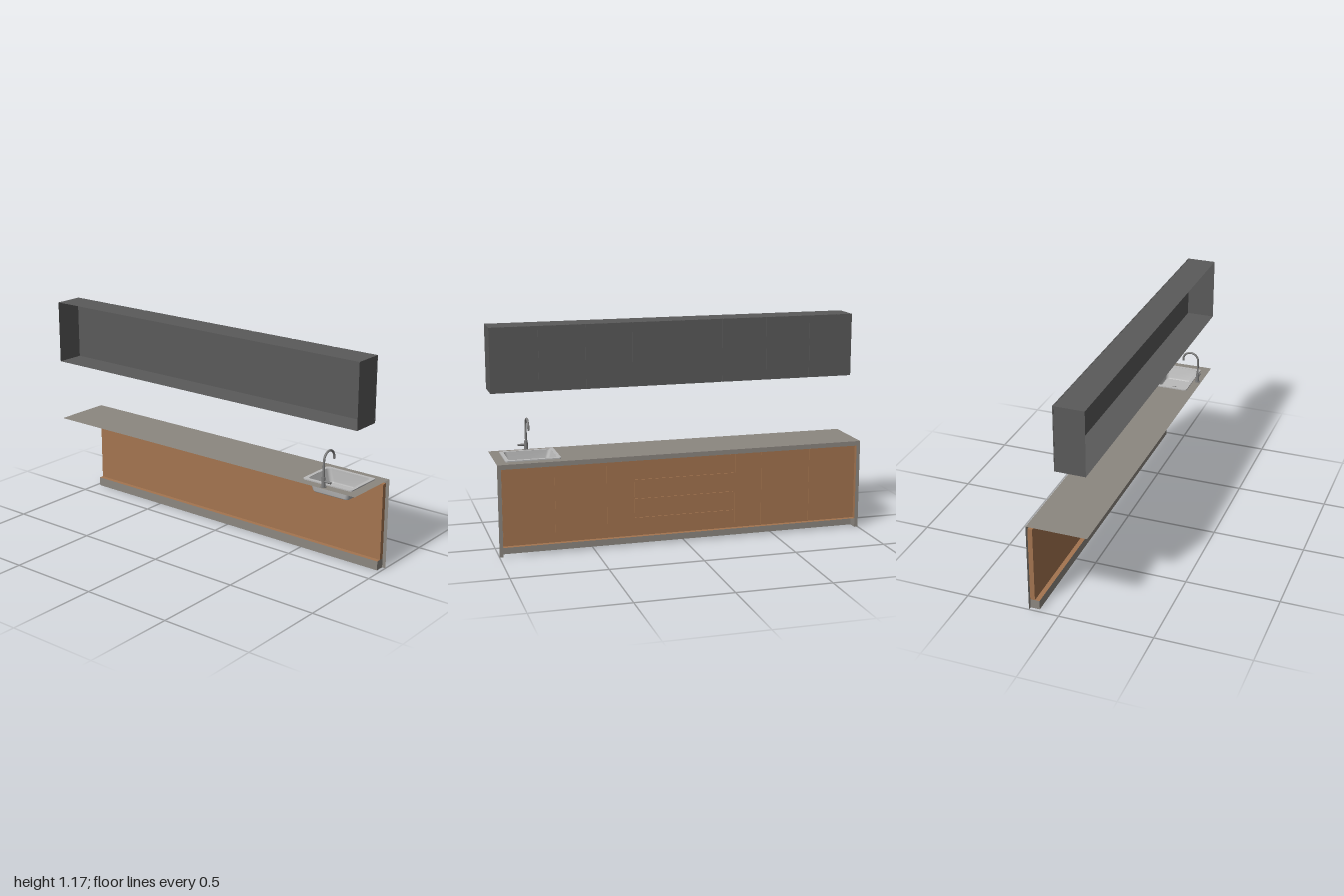
import * as THREE from 'three';

const material = (name, color) => {
  const m = new THREE.MeshStandardMaterial({ color, side: THREE.DoubleSide });
  m.name = name;
  return m;
};

export function createModel() {
  const charcoal = material('charcoal', 0x5a5a5a);
  const wood = material('wood', 0xa3744f);
  const stone = material('stone', 0x8c8780);
  const steel = material('steel', 0xbababa);
  const tap = material('tapMetal', 0x7c7c7c);

  const model = new THREE.Group();
  model.name = 'kitchenUnit';

  const add = (parent, name, geometry, mat, x = 0, y = 0, z = 0) => {
    const mesh = new THREE.Mesh(geometry, mat);
    mesh.name = name;
    mesh.position.set(x, y, z);
    parent.add(mesh);
    return mesh;
  };
  const group = (name) => {
    const g = new THREE.Group();
    g.name = name;
    model.add(g);
    return g;
  };
  // Thin sheets facing along z, y and x, given by their ranges
  const sheetZ = (p, name, mat, x0, x1, y0, y1, z) =>
    add(p, name, new THREE.PlaneGeometry(x1 - x0, y1 - y0), mat, (x0 + x1) / 2, (y0 + y1) / 2, z);
  const sheetY = (p, name, mat, x0, x1, z0, z1, y) =>
    add(p, name, new THREE.PlaneGeometry(x1 - x0, z1 - z0).rotateX(-Math.PI / 2), mat,
      (x0 + x1) / 2, y, (z0 + z1) / 2);
  const sheetX = (p, name, mat, y0, y1, z0, z1, x) =>
    add(p, name, new THREE.PlaneGeometry(z1 - z0, y1 - y0).rotateY(Math.PI / 2), mat,
      x, (y0 + y1) / 2, (z0 + z1) / 2);
  // Door or drawer plate, with half a gap taken off every edge
  const plate = (p, name, mat, x0, x1, y0, y1, z, gap) =>
    add(p, name, new THREE.BoxGeometry(x1 - x0 - gap, y1 - y0 - gap, 0.005), mat,
      (x0 + x1) / 2, (y0 + y1) / 2, z);

  // Wall cabinet: shell open at +z, eight doors towards -z
  const wall = group('wallCabinet');
  const [wy0, wy1] = [0.83, 1.172];
  sheetZ(wall, 'wallBack', charcoal, -1, 1, wy0, wy1, 0.006);
  for (const y of [wy0, wy1]) sheetY(wall, 'wallBoard', charcoal, -1, 1, 0.006, 0.16, y);
  for (const x of [-1, 1]) sheetX(wall, 'wallSide', charcoal, wy0, wy1, 0.006, 0.16, x);
  for (let i = 0; i < 8; i++) {
    const x0 = -1 + i * 0.25;
    const gap = 0.008;
    const a = i === 0 ? x0 - gap / 2 : x0;
    const b = i === 7 ? x0 + 0.25 + gap / 2 : x0 + 0.25;
    plate(wall, 'wallDoor', charcoal, a, b, wy0 - gap / 2, wy1 + gap / 2, 0.0028, gap);
  }

  // Base cabinet: stone frame, recessed wooden fronts and a deeper toe kick
  const base = group('baseCabinet');
  const top = 0.49, head = 0.465, kick = 0.05, side = 0.98;
  const zFrame = -0.16, zFront = -0.135, zKick = -0.11;
  for (const s of [-1, 1]) {
    sheetZ(base, 'frameUpright', stone, Math.min(s, s * side), Math.max(s, s * side), 0, top, zFrame);
    sheetX(base, 'frontReveal', wood, kick, head, zFrame, zFront, s * side);
    sheetX(base, 'kickReveal', stone, 0, kick, zFrame, zKick, s * side);
  }
  sheetZ(base, 'frameTop', stone, -side, side, head, top, zFrame);
  sheetY(base, 'headReveal', wood, -side, side, zFrame, zFront, head);
  sheetY(base, 'cabinetBottom', wood, -side, side, zFrame, zKick, kick);
  sheetZ(base, 'toeKick', stone, -side, side, 0, kick, zKick);
  sheetZ(base, 'frontBacking', wood, -side, side, kick, head, zFront);

  // Doors mirrored about a stack of four drawers
  const edges = [0.279, 0.429, 0.705, side];
  for (const s of [-1, 1])
    for (let i = 0; i < 3; i++) {
      const [a, b] = [s * edges[i], s * edges[i + 1]];
      plate(base, 'baseDoor', wood, Math.min(a, b), Math.max(a, b), kick, head, zFront - 0.003, 0.01);
    }
  const drawer = (head - kick) / 4;
  for (let i = 0; i < 4; i++)
    plate(base, 'drawerFront', wood, -edges[0], edges[0], kick + i * drawer, kick + (i + 1) * drawer,
      zFront - 0.003, 0.01);

  // Points round a rectangle with rounded corners
  const loop = (hx, hz, r) => {
    const pts = [];
    for (let c = 0; c < 4; c++) {
      const cx = (c === 0 || c === 3 ? 1 : -1) * (hx - r);
      const cz = (c < 2 ? 1 : -1) * (hz - r);
      for (let k = 0; k <= 5; k++) {
        const a = (c + k / 5) * Math.PI / 2;
        pts.push(new THREE.Vector2(cx + r * Math.cos(a), cz + r * Math.sin(a)));
      }
    }
    return pts;
  };

  // Worktop with a sink cut-out
  const sx = 0.803;
  const worktop = new THREE.Shape([[-1, -0.16], [1, -0.16], [1, 0.16], [-1, 0.16]]
    .map(([x, y]) => new THREE.Vector2(x, y)));
  worktop.holes.push(new THREE.Path(loop(0.129, 0.096, 0.02).map((p) => p.setX(p.x + sx))));
  add(model, 'worktop', new THREE.ShapeGeometry(worktop).rotateX(-Math.PI / 2), stone, 0, top, 0);

  // Sink: flat rim, tapered bowl and drain
  const sink = group('sink');
  sink.position.set(sx, 0, 0);
  const rim = new THREE.Shape(loop(0.146, 0.113, 0.012));
  rim.holes.push(new THREE.Path(loop(0.127, 0.094, 0.02)));
  add(sink, 'sinkRim', new THREE.ExtrudeGeometry(rim, { depth: 0.006, bevelEnabled: false })
    .rotateX(-Math.PI / 2), steel, 0, 0.491, 0);

  // Bowl rows: half width, half depth, corner radius, height, z offset
  const rows = [
    [0.127, 0.094, 0.02, 0.496, 0],
    [0.109, 0.088, 0.02, 0.432, -0.003],
    [0.103, 0.083, 0.018, 0.425, -0.004],
  ];
  const pos = [], index = [];
  let n = 0;
  for (const [hx, hz, r, y, dz] of rows) {
    const pts = loop(hx, hz, r);
    n = pts.length;
    for (const p of pts) pos.push(p.x, y, p.y + dz);
  }
  for (let j = 0; j < rows.length - 1; j++)
    for (let i = 0; i < n; i++) {
      const k = (i + 1) % n;
      const a = j * n + i, b = j * n + k, c = a + n, d = b + n;
      index.push(a, b, c, b, d, c);
    }
  const bowl = new THREE.BufferGeometry();
  bowl.setAttribute('position', new THREE.Float32BufferAttribute(pos, 3));
  bowl.setIndex(index);
  bowl.computeVertexNormals();
  add(sink, 'sinkBowl', bowl, steel);
  add(sink, 'sinkFloor', new THREE.ShapeGeometry(new THREE.Shape(loop(0.103, 0.083, 0.018)))
    .rotateX(-Math.PI / 2), steel, 0, 0.425, -0.004);
  add(sink, 'drainPipe', new THREE.CylinderGeometry(0.014, 0.014, 0.014, 24), steel, 0, 0.418, -0.007);
  add(sink, 'drainCover', new THREE.CylinderGeometry(0.015, 0.015, 0.003, 24), tap, 0, 0.4265, -0.007);

  // Swan-neck tap with a side lever
  const faucet = group('tap');
  faucet.position.set(0.8, top, 0.137);
  add(faucet, 'tapFoot', new THREE.CylinderGeometry(0.015, 0.015, 0.004, 24), tap, 0, 0.002, 0);
  add(faucet, 'tapBody', new THREE.CylinderGeometry(0.0095, 0.0105, 0.05, 24), tap, 0, 0.027, 0);
  const neck = [new THREE.Vector3(0, 0.04, 0), new THREE.Vector3(0, 0.09, 0)];
  for (let i = 0; i <= 10; i++) {
    const a = (i / 10) * Math.PI;
    neck.push(new THREE.Vector3(0, 0.134 + 0.045 * Math.sin(a), -0.045 + 0.045 * Math.cos(a)));
  }
  neck.push(new THREE.Vector3(0, 0.125, -0.09));
  const curve = new THREE.CatmullRomCurve3(neck);
  add(faucet, 'tapNeck', new THREE.TubeGeometry(curve, 48, 0.0058, 12), tap);
  add(faucet, 'spoutEnd', new THREE.CircleGeometry(0.0058, 12).rotateX(Math.PI / 2), tap, 0, 0.125, -0.09);
  add(faucet, 'leverStub', new THREE.CylinderGeometry(0.006, 0.006, 0.036, 16).rotateZ(Math.PI / 2),
    tap, 0.026, 0.03, 0);

  return model;
}
